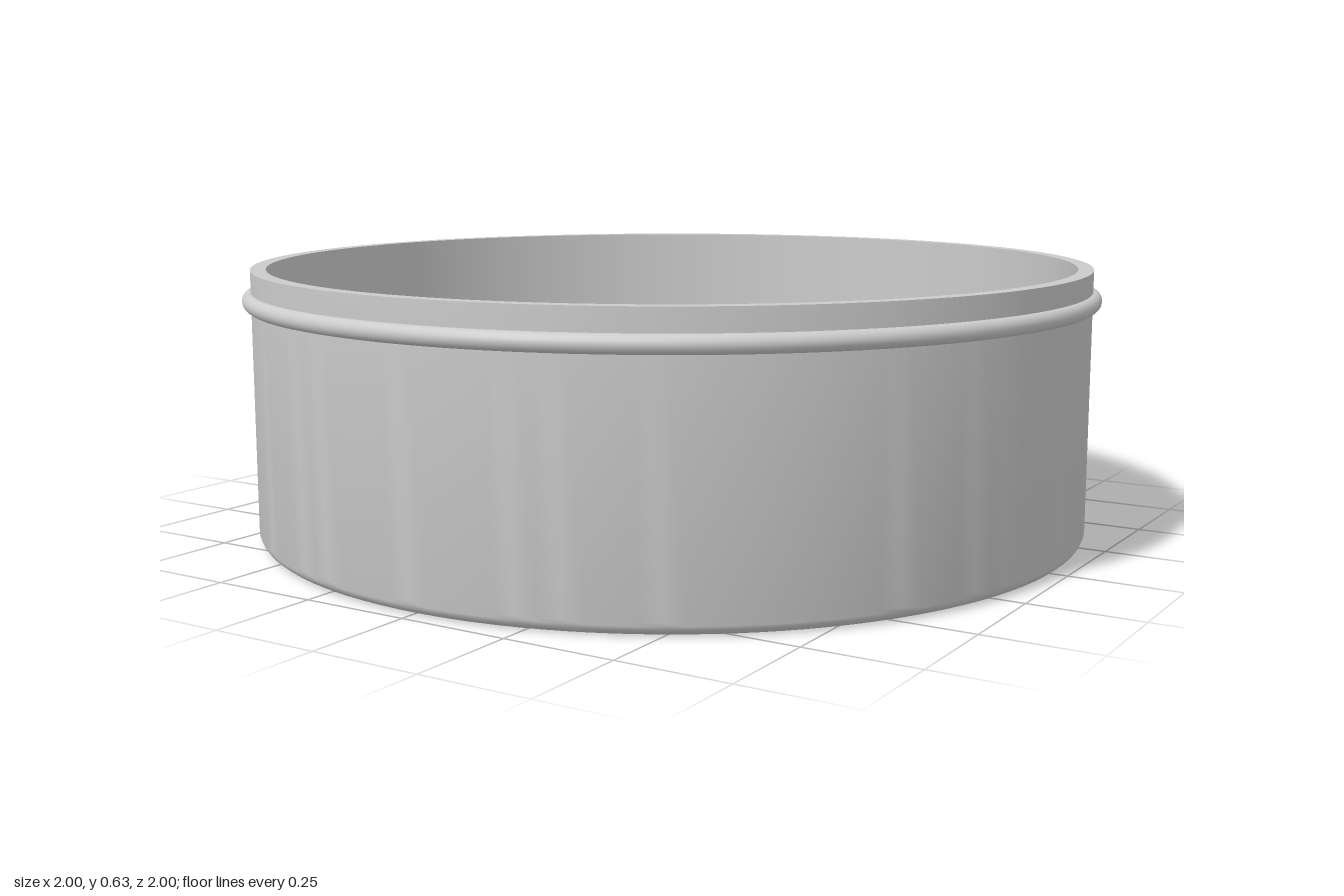
import * as THREE from 'three';
import { toCreasedNormals } from 'three/addons/utils/BufferGeometryUtils.js';

const OUTER = 0.98, INNER = 0.945, HEIGHT = 0.63;
const FLOOR = 0.035, FILLET = 0.03, SEGMENTS = 128;

function circlePoints(cx, cy, r, n) {
  return Array.from({ length: n }, (_, i) => {
    const a = (i / n) * Math.PI * 2;
    return new THREE.Vector2(cx + r * Math.cos(a), cy + r * Math.sin(a));
  });
}

export function createModel() {
  const group = new THREE.Group();
  group.name = 'perforatedBasket';
  const material = new THREE.MeshStandardMaterial({ color: 0xcccccc });
  const add = (name, geometry) => {
    const mesh = new THREE.Mesh(geometry, material);
    mesh.name = name;
    group.add(mesh);
    return mesh;
  };

  // Side wall with a rounded bottom edge and a flat rim
  const profile = [];
  for (let i = 0; i <= 6; i++) {
    const a = (i / 6) * Math.PI / 2;
    profile.push(new THREE.Vector2(
      OUTER - FILLET + FILLET * Math.sin(a), FILLET - FILLET * Math.cos(a)));
  }
  profile.push(
    new THREE.Vector2(OUTER, HEIGHT),
    new THREE.Vector2(INNER, HEIGHT),
    new THREE.Vector2(INNER, FLOOR));
  add('wall', toCreasedNormals(new THREE.LatheGeometry(profile, SEGMENTS), 0.6));

  // Floor plate: a centre hole, then rings of holes lined up in spokes
  const plate = new THREE.Shape(circlePoints(0, 0, OUTER - FILLET, SEGMENTS));
  const drill = (r, a) => plate.holes.push(new THREE.Path(
    circlePoints(r * Math.cos(a), r * Math.sin(a), 0.02, 20)));
  drill(0, 0);
  for (let ring = 1; ring <= 8; ring++) {
    const count = ring === 1 ? 7 : 15;
    for (let i = 0; i < count; i++) drill(ring * 0.111, (i / count) * Math.PI * 2);
  }
  const floor = new THREE.ExtrudeGeometry(plate, { depth: FLOOR, bevelEnabled: false });
  floor.rotateX(-Math.PI / 2);
  add('floor', toCreasedNormals(floor, 0.6));

  // Rounded bead around the wall below the rim
  const bead = new THREE.TorusGeometry(OUTER, 0.02, 16, SEGMENTS);
  bead.rotateX(Math.PI / 2);
  add('bead', bead).position.y = 0.56;

  return group;
}
